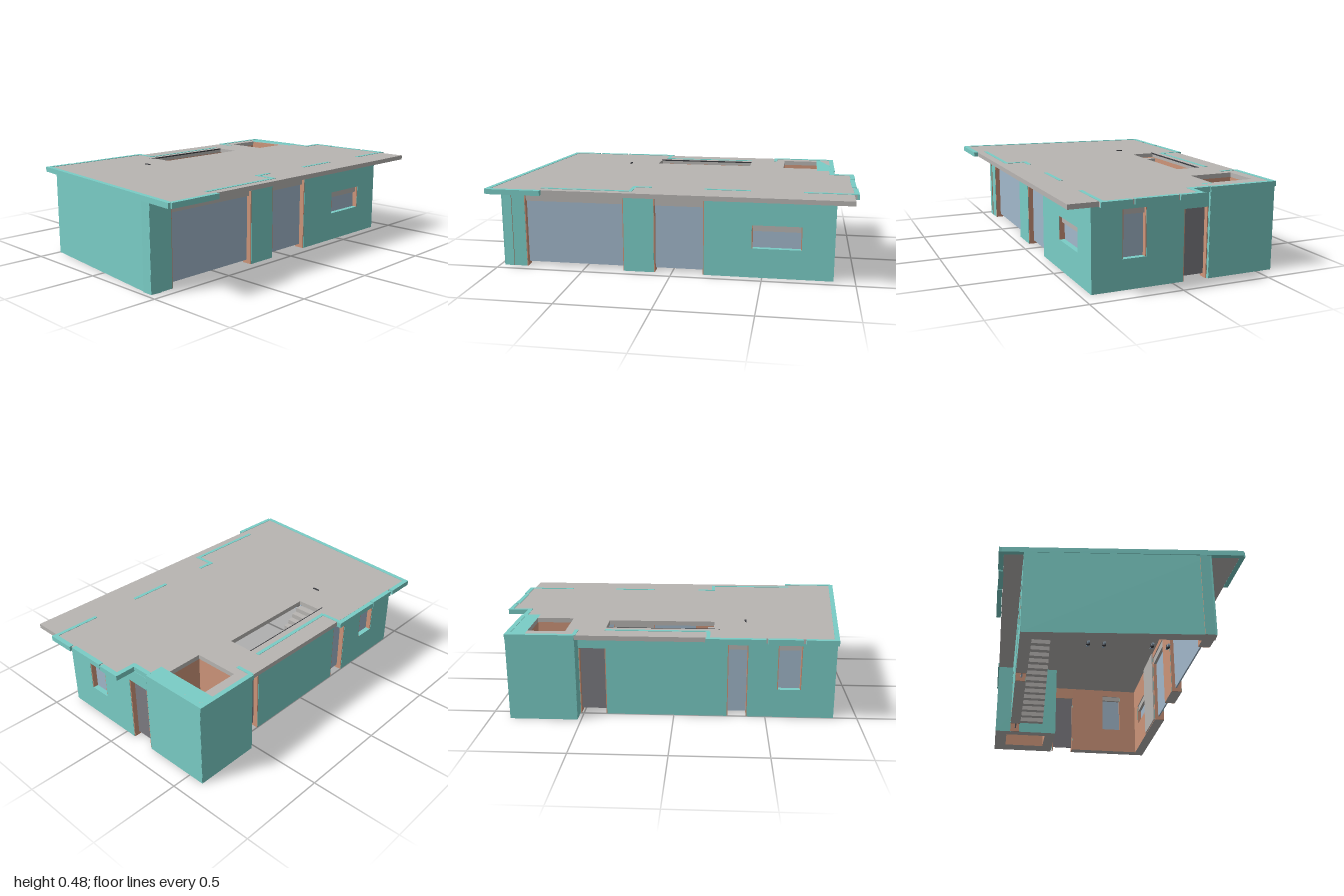
import * as THREE from 'three';

const mat = (name, color) => {
  const m = new THREE.MeshStandardMaterial({ color });
  m.name = name;
  return m;
};

export function createModel() {
  const model = new THREE.Group();
  model.name = 'bungalow';
  const teal = mat('teal render', 0x7acdc6);
  const grey = mat('roof grey', 0xb8b5b2);
  const tan = mat('tan plaster', 0xcd957a);
  const glass = mat('blue grey glass', 0xa2b8cb);
  const dark = mat('dark door grey', 0x7d7c82);
  const metal = mat('dark metal', 0x3c3d42);
  const EAVE = 0.455, TOP = 0.482;

  const box = (name, x0, x1, y0, y1, z0, z1, material, parent = model) => {
    const m = new THREE.Mesh(new THREE.BoxGeometry(x1 - x0, y1 - y0, z1 - z0), material);
    m.position.set((x0 + x1) / 2, (y0 + y1) / 2, (z0 + z1) / 2);
    m.name = name;
    parent.add(m);
    return m;
  };

  // A wall runs from p to q (plan points on its outer line), inside to the left;
  // openings are [start, end, sill, pane top, shutter top, pane material]
  function wall(name, p, q, t, openings = [], ends = teal, top = EAVE) {
    const g = new THREE.Group();
    g.name = name;
    const dx = q[0] - p[0], dz = q[1] - p[1], len = Math.hypot(dx, dz);
    g.position.set(p[0], 0, p[1]);
    g.rotation.y = Math.atan2(-dz, dx);
    const skin = [ends, ends, teal, grey, teal, tan];
    const part = (n, a, b, y0, y1) => box(n, a, b, y0, y1, -t, 0, skin, g);
    let at = 0.001;
    for (const [a, b, sill, pane, shutter, material] of openings) {
      part('pier', at, a, 0, top);
      if (sill > 0) part('sillWall', a, b, 0, sill);
      part('lintel', a, b, shutter, top);
      box('pane', a, b, Math.max(sill, 0.02), pane, -0.038, -0.03, material, g);
      if (shutter > pane) box('shutterBox', a, b, pane, shutter, -t + 0.005, -0.015, grey, g);
      // Tan reveals either side
      for (const x of [a, b - 0.005])
        box('reveal', x, x + 0.005, sill, shutter, -t + 0.002, -0.002, tan, g);
      at = b;
    }
    part('pier', at, len - 0.001, 0, top);
    model.add(g);
  }

  // Main house walls
  const fx = x => x + 0.975;
  wall('frontWall', [-0.975, 0.445], [0.885, 0.445], 0.06, [
    [fx(-0.84), fx(-0.27), 0, 0.38, 0.42, glass],
    [fx(-0.1), fx(0.18), 0, 0.38, 0.42, glass],
    [fx(0.44), fx(0.71), 0.165, 0.26, 0.295, glass],
  ]);
  wall('leftWall', [0.885, 0.445], [0.885, -0.2], 0.06, [
    [0.165, 0.295, 0.16, 0.38, 0.41, glass],
    [0.505, 0.643, 0, 0.38, 0.38, dark],
  ]);
  const bx = x => 0.52 - x;
  wall('backWall', [0.52, -0.5], [-0.872, -0.5], 0.06, [
    [0.003, bx(0.37), 0, 0.38, 0.38, dark],
    [bx(-0.29), bx(-0.4), 0, 0.38, 0.41, glass],
    [bx(-0.56), bx(-0.69), 0.16, 0.38, 0.41, glass],
  ]);
  wall('slantedWall', [-0.872, -0.5], [-0.975, 0.445], 0.06);
  box('innerPlaster', 0.18, 0.44, 0.002, EAVE, 0.378, 0.384, grey);

  // Corner room with thick walls, open to the sky
  wall('cornerRoomLeft', [0.89, -0.205], [0.89, -0.592], 0.105, [], teal, 0.48);
  wall('cornerRoomBack', [0.89, -0.592], [0.52, -0.592], 0.072);
  wall('cornerRoomSide', [0.52, -0.592], [0.52, -0.205], 0.06);
  wall('cornerRoomFront', [0.52, -0.205], [0.89, -0.205], 0.065);

  // Flat roof with light well and stair opening (plan y is -z)
  const outline = [[-0.99, 0.595], [0.97, 0.595], [0.97, 0.44], [0.985, 0.44], [0.985, -0.1],
    [0.865, -0.1], [0.865, -0.21], [0.885, -0.21], [0.885, -0.592], [-0.86, -0.6]];
  const pts = list => list.map(([x, z]) => new THREE.Vector2(x, -z));
  const roofShape = new THREE.Shape(pts(outline));
  for (const [x0, x1, z0, z1] of [[0.58, 0.785, -0.52, -0.27], [-0.215, 0.37, -0.44, -0.3]])
    roofShape.holes.push(new THREE.Path(pts([[x0, z0], [x1, z0], [x1, z1], [x0, z1]])));
  const roofGeo = new THREE.ExtrudeGeometry(roofShape, { depth: 0.48 - EAVE, bevelEnabled: false });
  roofGeo.rotateX(-Math.PI / 2);
  const roof = new THREE.Mesh(roofGeo, grey);
  roof.position.y = EAVE;
  roof.name = 'roof';
  model.add(roof);

  // Teal fascia and wall heads, as bars between two plan points
  const bar = (name, x0, z0, x1, z1, w, y0 = EAVE - 0.001) => {
    const m = box(name, 0, Math.hypot(x1 - x0, z1 - z0), y0, TOP, -w / 2, w / 2, teal);
    m.position.x = (x0 + x1) / 2;
    m.position.z = (z0 + z1) / 2;
    m.rotation.y = Math.atan2(z0 - z1, x1 - x0);
  };
  const fascia = [
    [-0.986, 0.61, -0.848, -0.61], [-0.985, 0.607, -0.685, 0.607],
    [-0.86, -0.613, -0.69, -0.613], [-0.675, -0.61, -0.495, -0.61], [-0.485, -0.613, -0.17, -0.613],
    [0.52, -0.587, 0.89, -0.587], [0.878, -0.595, 0.878, -0.21], [0.87, -0.21, 0.87, -0.09],
    [0.86, -0.095, 0.995, -0.095], [0.985, -0.105, 0.985, 0.025],
    [0.98, 0.035, 0.98, 0.265], [0.985, 0.28, 0.985, 0.44],
  ];
  for (const f of fascia) bar('fascia', ...f, 0.026);
  const heads = [
    [-0.7, 0.54, -0.2, 0.54], [-0.205, 0.55, -0.205, 0.415], [-0.2, 0.427, -0.11, 0.427],
    [0.18, 0.427, 0.43, 0.427], [0.71, 0.427, 0.985, 0.427],
    [-0.185, -0.6, -0.185, -0.49], [-0.19, -0.488, 0.37, -0.488], [0.522, -0.59, 0.522, -0.49],
  ];
  for (const h of heads) bar('wallHead', ...h, 0.02, 0.477);

  // Staircase climbing towards the roof opening
  const stairs = new THREE.Group();
  stairs.name = 'stairs';
  const steps = 17, run = 0.585 / steps;
  for (let i = 0; i < steps; i++) {
    const x = -0.215 + i * run, y = 0.45 - i * 0.025;
    box('step', x, x + run, y - 0.045, y, -0.44, -0.3, grey, stairs);
  }
  model.add(stairs);
  box('stairRail', -0.245, 0.37, 0.474, 0.481, -0.442, -0.437, metal);
  box('roofVent', -0.395, -0.385, 0.474, 0.484, -0.3, -0.26, metal);

  // Small floor fittings in the far room
  for (const [x, z] of [[-0.8, 0.2], [-0.78, -0.12]]) {
    const g = new THREE.Group();
    g.name = 'floorFitting';
    for (const dz of [-0.04, 0.04]) {
      const foot = new THREE.Mesh(new THREE.CylinderGeometry(0.01, 0.01, 0.015, 10), metal);
      foot.position.set(0, 0.0085, dz);
      foot.name = 'foot';
      g.add(foot);
      box('plate', -0.03, 0.03, 0.004, 0.01, dz - 0.006, dz + 0.006, glass, g);
    }
    g.position.set(x, 0, z);
    model.add(g);
  }
  return model;
}
